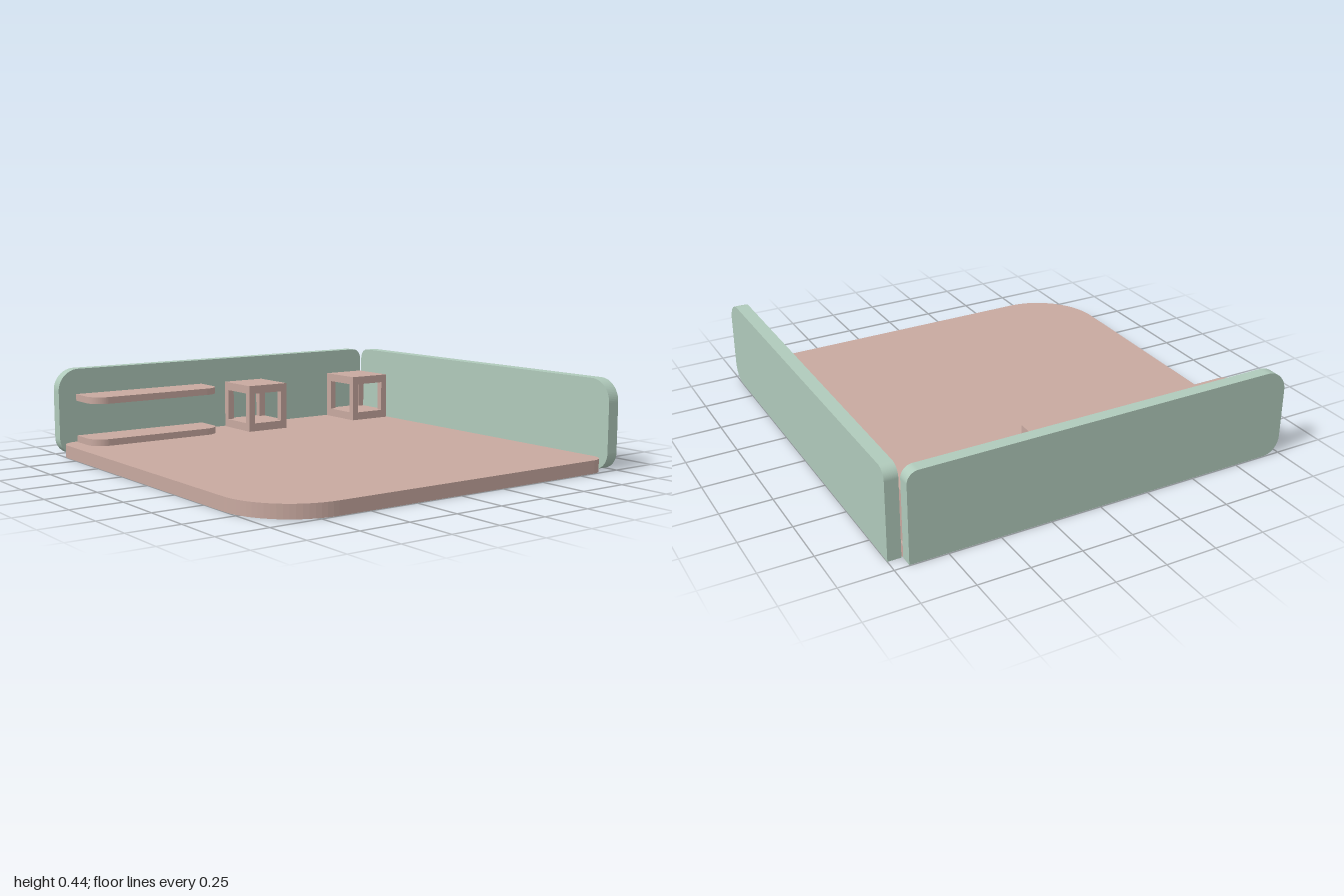
import * as THREE from 'three';

// Rectangle with one radius per corner: bottom-left, bottom-right, top-right, top-left
function roundedRect(x0, y0, x1, y1, [bl, br, tr, tl]) {
  const s = new THREE.Shape();
  const corner = (cx, cy, r, start) => {
    if (r > 0) s.absarc(cx, cy, r, start, start + Math.PI / 2, false);
    else s.lineTo(cx, cy);
  };
  s.moveTo(x0 + bl, y0);
  corner(x1 - br, y0 + br, br, -Math.PI / 2);
  corner(x1 - tr, y1 - tr, tr, 0);
  corner(x0 + tl, y1 - tl, tl, Math.PI / 2);
  corner(x0 + bl, y0 + bl, bl, Math.PI);
  return s;
}

const extrude = (shape, depth) =>
  new THREE.ExtrudeGeometry(shape, { depth, bevelEnabled: false, curveSegments: 10 });

// Horizontal board; shape y is -z, so the first two radii are the front corners
function board(x0, x1, zBack, zFront, y, thick, radii) {
  return extrude(roundedRect(x0, -zFront, x1, -zBack, radii), thick)
    .rotateX(-Math.PI / 2).translate(0, y, 0);
}

export function createModel() {
  const group = new THREE.Group();
  const wood = new THREE.MeshStandardMaterial({ color: 0xc8a9a0 });
  wood.name = 'dusty pink';
  const felt = new THREE.MeshStandardMaterial({ color: 0xb0cabb });
  felt.name = 'sage green';

  const add = (name, geometry, material, parent = group) => {
    const mesh = new THREE.Mesh(geometry, material);
    mesh.name = name;
    parent.add(mesh);
    return mesh;
  };

  const top = 0.064, height = 0.44, zBack = -0.936, zFront = 0.996;

  // Desk top with one large rounded corner
  add('deskTop', board(-1, 0.93, zBack, zFront, 0, top, [0.34, 0.085, 0, 0.085]), wood);

  // Upright screens along the back and the left side
  add('backScreen',
    extrude(roundedRect(-1, 0, 0.93, height, [0.085, 0, 0.055, 0.11]), 0.06).translate(0, 0, -0.996), felt);
  add('sideScreen',
    extrude(roundedRect(-0.932, 0, zFront, height, [0, 0.085, 0.11, 0.055]), 0.064)
      .rotateY(-Math.PI / 2).translate(1, 0, 0), felt);

  // Two shelves, rounded at the front
  [['lowerShelf', top], ['upperShelf', 0.278]].forEach(([name, y]) =>
    add(name, board(-0.91, -0.17, -0.925, -0.722, y, 0.034, [0.085, 0.085, 0, 0]), wood));

  // Open cubes: solid floor and lid on four corner posts
  const size = 0.24, depth = 0.25, plate = 0.043, post = 0.035, cubeTop = 0.312;
  const gap = cubeTop - top - 2 * plate;
  [['rightCube', 0.1], ['leftCube', 0.8]].forEach(([name, x]) => {
    const cube = new THREE.Group();
    cube.name = name;
    cube.position.set(x, top, -0.8);
    add('floor', new THREE.BoxGeometry(size, plate, depth).translate(0, plate / 2, 0), wood, cube);
    add('lid', new THREE.BoxGeometry(size, plate, depth).translate(0, plate * 1.5 + gap, 0), wood, cube);
    for (const sx of [-1, 1]) for (const sz of [-1, 1]) {
      add('cornerPost', new THREE.BoxGeometry(post, gap, post).translate(
        sx * (size - post) / 2, plate + gap / 2, sz * (depth - post) / 2), wood, cube);
    }
    group.add(cube);
  });

  return group;
}
